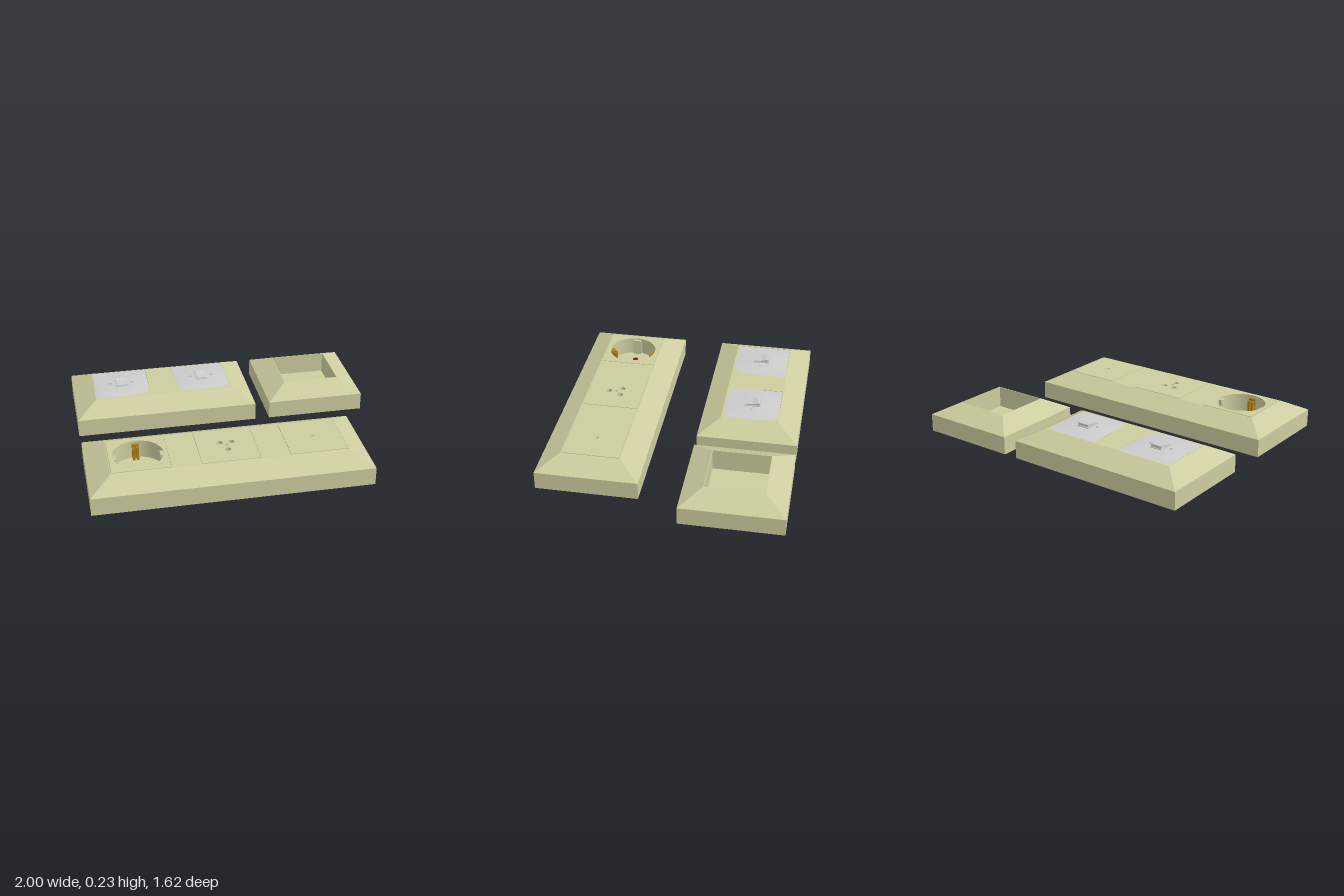
import * as THREE from 'three';

const mat = (color) => new THREE.MeshStandardMaterial({ color });
const ivory = mat(0xcccc9f), grey = mat(0xbcbcc0), red = mat(0x8c1010), black = mat(0x0a0a0a), brass = mat(0xb08018);
ivory.side = THREE.DoubleSide;

const TOP = 0.195, FLOOR = 0.05, CELL = 0.38;

function add(parent, name, geometry, material, x = 0, y = 0, z = 0) {
  const mesh = new THREE.Mesh(geometry, material);
  mesh.name = name;
  mesh.position.set(x, y, z);
  parent.add(mesh);
  return mesh;
}

// Outlines drawn in plan; shape y is -z
function rect(w, d, x = 0, z = 0, Type = THREE.Shape) {
  const pts = [[-1, -1], [1, -1], [1, 1], [-1, 1]].map(([a, b]) => new THREE.Vector2(x + a * w / 2, -z + b * d / 2));
  return new Type(pts);
}
function disc(r, x = 0, z = 0) {
  return new THREE.Path().absarc(x, -z, r, 0, Math.PI * 2, false);
}
// Upright slab between two heights, pierced by holes
function slab(shape, y0, y1, holes = []) {
  shape.holes.push(...holes);
  const g = new THREE.ExtrudeGeometry(shape, { depth: y1 - y0, bevelEnabled: false, curveSegments: 24 });
  return g.rotateX(-Math.PI / 2).translate(0, y0, 0);
}

// Outer skin: base, upright walls and sloped border
function shellGeometry(w, d, inset) {
  const ring = (i, y) => [[-1, 1], [1, 1], [1, -1], [-1, -1]].map(([a, b]) => [a * (w / 2 - i), y, b * (d / 2 - i)]);
  const rings = [ring(0, 0), ring(0, 0.12), ring(inset, TOP)];
  const pos = [];
  const quad = (a, b, c, e) => pos.push(...a, ...b, ...c, ...a, ...c, ...e);
  for (let k = 0; k < 2; k++) {
    for (let i = 0; i < 4; i++) {
      const j = (i + 1) % 4;
      quad(rings[k][i], rings[k][j], rings[k + 1][j], rings[k + 1][i]);
    }
  }
  quad(rings[0][3], rings[0][2], rings[0][1], rings[0][0]);
  const g = new THREE.BufferGeometry();
  g.setAttribute('position', new THREE.Float32BufferAttribute(pos, 3));
  g.computeVertexNormals();
  return g;
}

// Surface frame with a row of square openings
function frame(name, x0, x1, z0, z1, cells) {
  const group = new THREE.Group();
  group.name = name;
  const cx = (x0 + x1) / 2, cz = (z0 + z1) / 2, w = x1 - x0, d = z1 - z0, inset = 0.14;
  group.position.set(cx, 0, cz);
  add(group, 'frameShell', shellGeometry(w, d, inset), ivory);
  const holes = cells.map((x) => rect(CELL, CELL, x - cx, 0, THREE.Path));
  add(group, 'frameTop', slab(rect(w - 2 * inset, d - 2 * inset), FLOOR, TOP, holes), ivory);
  add(group, 'boxFloor', new THREE.BoxGeometry(w - 0.2, 0.02, d - 0.2), ivory, 0, FLOOR - 0.01, 0);
  return group;
}

// Slotted screw head made of two segments
function screw(parent, r, x, y, z, material) {
  for (const s of [0, Math.PI]) {
    const half = new THREE.Shape().absarc(0, 0, r, s + 0.2, s + Math.PI - 0.2, false);
    add(parent, 'screwHead', slab(half, -0.012, 0), material, x, y, z);
  }
}

// Cushioned plate with a tilted rocker
function lightSwitch(parent, x) {
  const group = new THREE.Group();
  group.name = 'lightSwitch';
  group.position.x = x;
  parent.add(group);
  const size = CELL - 0.004, h = size / 2;
  const plate = new THREE.PlaneGeometry(size, size, 16, 16).rotateX(-Math.PI / 2);
  const p = plate.attributes.position;
  for (let i = 0; i < p.count; i++) {
    const u = p.getX(i) / h, v = p.getZ(i) / h;
    p.setY(i, 0.194 + 0.014 * (1 - u * u) * (1 - v * v));
  }
  plate.computeVertexNormals();
  add(group, 'switchPlate', plate, grey);
  add(group, 'rockerSurround', new THREE.BoxGeometry(0.086, 0.02, 0.116), grey, 0, 0.201, 0);
  const side = new THREE.Shape([[-0.053, 0.2], [0.053, 0.2], [0.05, 0.228], [0.036, 0.23], [0, 0.22], [-0.05, 0.216]]
    .map(([a, b]) => new THREE.Vector2(a, b)));
  const rocker = new THREE.ExtrudeGeometry(side, { depth: 0.074, bevelEnabled: false });
  add(group, 'rocker', rocker.translate(0, 0, -0.037).rotateY(Math.PI / 2), grey);
  for (const s of [-1, 1]) screw(group, 0.011, s * 0.076, 0.209, 0, grey);
}

// Flat cover for a cell
function cover(parent, name, x, holes) {
  const group = new THREE.Group();
  group.name = name;
  group.position.x = x;
  parent.add(group);
  add(group, 'coverPlate', slab(rect(CELL - 0.004, CELL - 0.004), 0.07, 0.197, holes), ivory);
  return group;
}

// Round well with guide ribs, two pin holes and earth clips
function roundSocket(parent, x) {
  const r = 0.163;
  const group = cover(parent, 'roundSocket', x, [disc(r)]);
  const pins = [-0.07, 0.07];
  const floor = new THREE.Shape().absarc(0, 0, r, 0, Math.PI * 2, false);
  add(group, 'wellFloor', slab(floor, 0.05, 0.075, pins.map((px) => disc(0.021, px))), ivory);
  for (const px of pins) add(group, 'pinHole', new THREE.CylinderGeometry(0.021, 0.021, 0.01, 24), red, px, 0.067, 0);
  for (const s of [-1, 1]) {
    add(group, 'guideRib', new THREE.BoxGeometry(0.024, 0.115, 0.055), ivory, s * (r - 0.01), 0.13, 0);
    add(group, 'earthClip', new THREE.BoxGeometry(0.044, 0.105, 0.02), brass, 0, 0.127, s * (r - 0.012));
    for (const t of [-1, 1]) {
      add(group, 'earthProng', new THREE.BoxGeometry(0.014, 0.09, 0.024), brass, t * 0.013, 0.12, s * (r - 0.03));
    }
  }
}

export function createModel() {
  const model = new THREE.Group();
  model.name = 'wallOutlets';
  const cells = [-0.665, -0.095, 0.475];

  // Double switch frame
  const switches = frame('switchFrame', -1, 0.235, -0.81, -0.143, cells.slice(0, 2));
  for (const x of cells.slice(0, 2)) lightSwitch(switches, x - switches.position.x);

  // Single empty frame
  const empty = frame('emptyFrame', 0.333, 1, -0.81, -0.143, [0.6665]);

  // Triple socket frame
  const sockets = frame('socketFrame', -1, 0.807, 0.138, 0.81, cells);
  const [a, b, c] = cells.map((x) => x - sockets.position.x);
  roundSocket(sockets, a);

  // Three-pin socket
  const pins = [[-0.038, -0.036], [0.038, -0.036], [0, 0.05]];
  const three = cover(sockets, 'threePinSocket', b, [disc(0.014), ...pins.map(([x, z]) => disc(0.02, x, z))]);
  for (const [x, z] of pins) add(three, 'pinHole', new THREE.CylinderGeometry(0.02, 0.02, 0.01, 24), black, x, 0.1, z);
  screw(three, 0.013, 0, 0.192, 0, ivory);

  // Blank cover
  const blank = cover(sockets, 'blankCover', c, [disc(0.014)]);
  screw(blank, 0.013, 0, 0.192, 0, ivory);

  model.add(switches, empty, sockets);
  return model;
}
